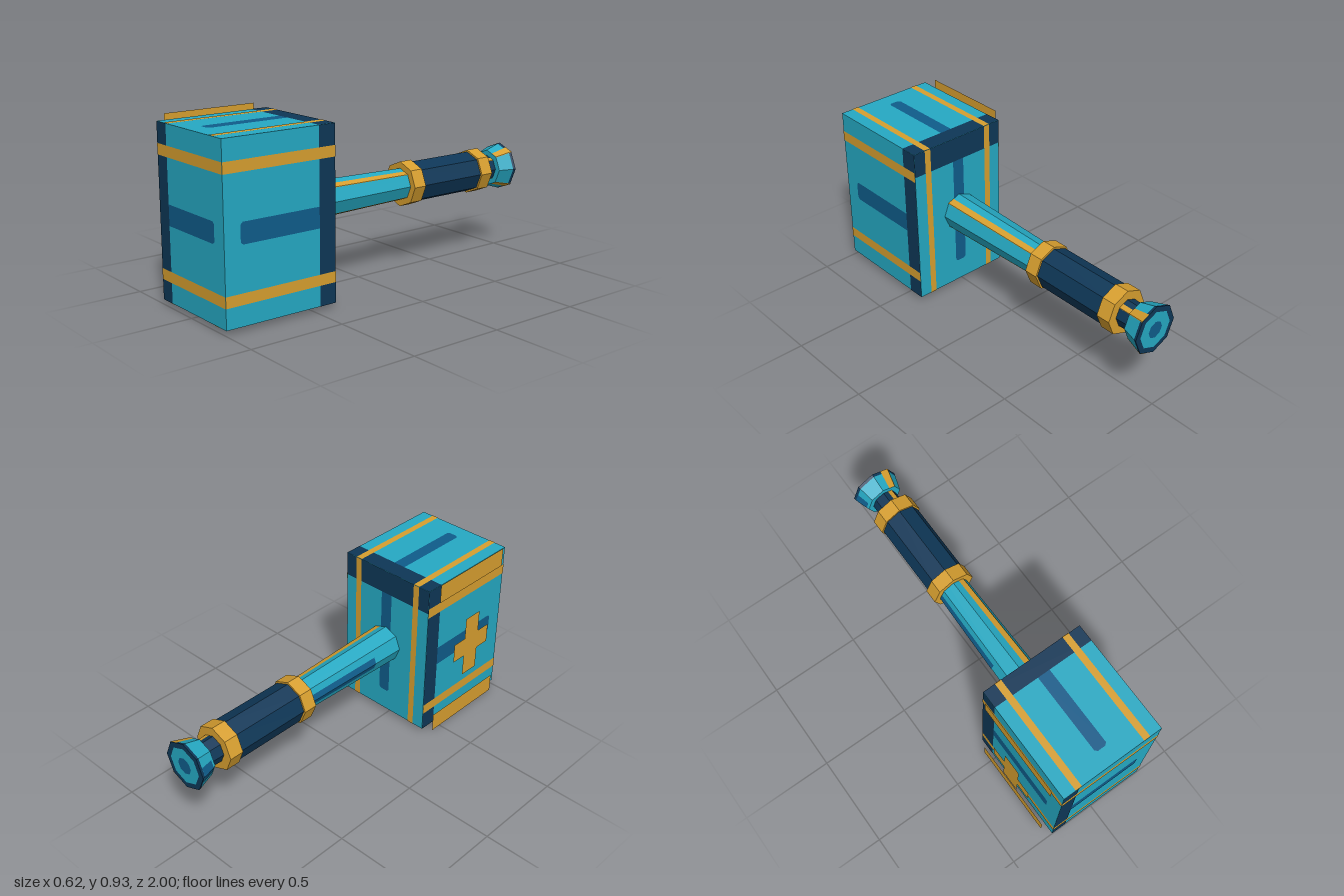
import * as THREE from 'three';

const CX = 0.025, CY = 0.463;            // axis of the handle and centre of the head
const W = 0.56, H = 0.873, D = 0.615, CZ = 0.6925;

const paint = (name, color, side = THREE.FrontSide) => {
  const m = new THREE.MeshStandardMaterial({ color, side, flatShading: true });
  m.name = name;
  return m;
};

export function createModel() {
  const teal = paint('teal', 0x25a9c3);
  const navy = paint('navy', 0x0e3757);
  const blue = paint('blue', 0x0f5c8a);
  const gold = paint('gold', 0xd79f2f, THREE.DoubleSide);
  const model = new THREE.Group();
  model.name = 'hammer';

  const add = (name, geometry, material, parent = model) => {
    const mesh = new THREE.Mesh(geometry, material);
    mesh.name = name;
    parent.add(mesh);
    return mesh;
  };

  // Head block
  add('head', new THREE.BoxGeometry(W, H, D), teal).position.set(CX, CY, CZ);

  // Painted face: end strip, centre bar and two bands, laid out along u
  function paintFace(name, u, n, length, width, depth) {
    const g = new THREE.Group();
    g.name = name;
    const U = new THREE.Vector3(...u), N = new THREE.Vector3(...n);
    const V = new THREE.Vector3().crossVectors(N, U);
    g.applyMatrix4(new THREE.Matrix4().makeBasis(U, V, N)
      .setPosition(new THREE.Vector3(CX, CY, CZ).addScaledVector(N, depth / 2)));
    const x = t => (t - 0.5) * length;
    add('endStrip', new THREE.PlaneGeometry(0.15 * length, width), navy, g)
      .position.set(x(0.075), 0, 0.001);
    const h = 0.06 * width, c = 0.012;
    const bar = new THREE.Shape([
      [x(0.15), -h], [x(0.86) - c, -h], [x(0.86), c - h],
      [x(0.86), h - c], [x(0.86) - c, h], [x(0.15), h],
    ].map(p => new THREE.Vector2(...p)));
    add('centreBar', new THREE.ShapeGeometry(bar), blue, g).position.z = 0.001;
    for (const s of [-1, 1])
      add('band', new THREE.PlaneGeometry(length, 0.063 * width), gold, g)
        .position.set(0, s * 0.35 * width, 0.002);
    model.add(g);
  }
  paintFace('frontPaint', [1, 0, 0], [0, 0, 1], W, H, D);
  paintFace('backPaint', [0, -1, 0], [0, 0, -1], H, W, D);
  for (const s of [-1, 1]) {
    paintFace(s > 0 ? 'leftPaint' : 'rightPaint', [0, 0, 1], [s, 0, 0], D, H, W);
    paintFace(s > 0 ? 'topPaint' : 'bottomPaint', [0, 0, 1], [0, s, 0], D, W, H);
  }

  // Thin plates and cross standing off the side of the head
  const sidePlate = (name, geometry, x, y) => {
    const m = add(name, geometry, gold);
    m.rotation.y = -Math.PI / 2;
    m.position.set(x, y, CZ);
  };
  sidePlate('upperPlate', new THREE.PlaneGeometry(0.505, 0.104), -0.283, 0.873);
  sidePlate('lowerPlate', new THREE.PlaneGeometry(0.505, 0.104), -0.283, 0.052);
  const a = 0.055, b = 0.14, t = 0.178;
  const cross = new THREE.Shape([
    [-a, -t], [a, -t], [a, -a], [b, -a], [b, a], [a, a],
    [a, t], [-a, t], [-a, a], [-b, a], [-b, -a], [-a, -a],
  ].map(p => new THREE.Vector2(...p)));
  sidePlate('cross', new THREE.ShapeGeometry(cross), -0.308, CY);

  // Eight-sided section running along z
  const section = (name, rFront, rBack, zFront, zBack, material) =>
    add(name, new THREE.CylinderGeometry(rFront, rBack, zFront - zBack, 8).rotateX(Math.PI / 2), material)
      .position.set(CX, CY, (zFront + zBack) / 2);

  // Painted patch hugging an eight-sided section, u = fraction of a turn from +x
  function patch(name, s, u0, u1, zFront, zBack, material) {
    const corner = k => [Math.cos(k * Math.PI / 4), Math.sin(k * Math.PI / 4)];
    const point = (u, z) => {
      const k = Math.floor(u * 8 + 1e-9), f = u * 8 - k;
      const p = corner(k), q = corner(k + 1);
      const r = THREE.MathUtils.mapLinear(z, s.zF, s.zB, s.rF, s.rB) + 0.0015;
      return [CX + r * (p[0] + (q[0] - p[0]) * f), CY + r * (p[1] + (q[1] - p[1]) * f), z];
    };
    const cuts = [u0];
    for (let k = Math.floor(u0 * 8 + 1e-9) + 1; k / 8 < u1 - 1e-9; k++) cuts.push(k / 8);
    cuts.push(u1);
    const pos = [];
    for (let i = 0; i + 1 < cuts.length; i++) {
      const A = point(cuts[i], zFront), B = point(cuts[i + 1], zFront);
      const C = point(cuts[i + 1], zBack), E = point(cuts[i], zBack);
      pos.push(...A, ...E, ...C, ...A, ...C, ...B);
    }
    const g = new THREE.BufferGeometry();
    g.setAttribute('position', new THREE.Float32BufferAttribute(pos, 3));
    g.computeVertexNormals();
    add(name, g, material);
  }

  // Shaft and pommel share one paint scheme: navy back end, two stripes, one bar
  function paintedSection(name, s, strip) {
    const L = s.zF - s.zB, zStrip = s.zB + strip * L;
    section(name, s.rF, THREE.MathUtils.lerp(s.rB, s.rF, strip), s.zF, zStrip, teal);
    section(name + 'End', THREE.MathUtils.lerp(s.rB, s.rF, strip), s.rB, zStrip, s.zB, navy);
    patch(name + 'UpperStripe', s, 0.12, 0.183, s.zF, s.zB, gold);
    patch(name + 'LowerStripe', s, 0.817, 0.88, s.zF, s.zB, gold);
    patch(name + 'Bar', s, 0.44, 0.56, s.zB + 0.86 * L, zStrip, blue);
  }
  paintedSection('shaft', { rF: 0.1, rB: 0.07, zF: 0.385, zB: -0.9 }, 0.15);
  paintedSection('pommel', { rF: 0.1, rB: 0.13, zF: -0.9, zB: -0.998 }, 0.15);

  // Grip with a collar at each end
  section('grip', 0.11, 0.11, -0.335, -0.745, navy);
  section('frontCollar', 0.12, 0.12, -0.26, -0.335, gold);
  section('backCollar', 0.12, 0.12, -0.745, -0.822, gold);

  // Painted end of the pommel
  const disc = (name, r, z, material) => {
    const m = add(name, new THREE.CircleGeometry(r, 8), material);
    m.rotation.y = Math.PI;
    m.position.set(CX, CY, z);
  };
  disc('pommelFace', 0.1, -0.999, teal);
  disc('pommelDot', 0.045, -1, blue);

  return model;
}
